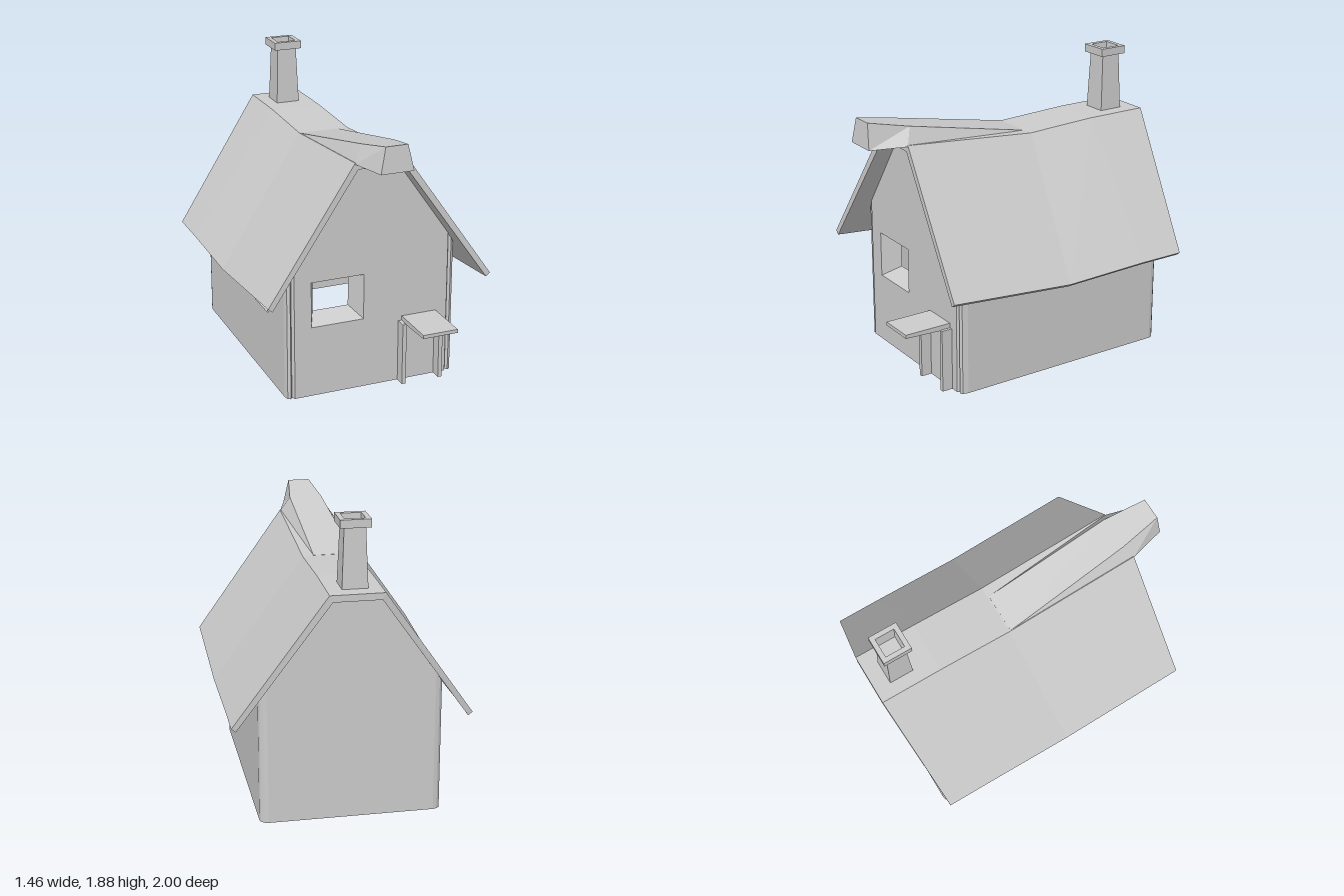
import * as THREE from 'three';

const solid = new THREE.MeshStandardMaterial({ color: 0xcccccc, flatShading: true });
const thin = new THREE.MeshStandardMaterial({ color: 0xcccccc, flatShading: true, side: THREE.DoubleSide });

// Skin through rings of points. Rings run left, over the top, to the right; sections go back to front.
function loft(rings, { closed = true, caps = true } = {}) {
  const n = rings[0].length, pos = [];
  const quad = (a, b, c, d) => pos.push(...a, ...b, ...c, ...a, ...c, ...d);
  for (let s = 0; s < rings.length - 1; s++) {
    const p = rings[s], q = rings[s + 1];
    for (let i = 0; i < (closed ? n : n - 1); i++) {
      const j = (i + 1) % n;
      quad(p[i], q[i], q[j], p[j]);
    }
  }
  if (caps) {
    const back = rings[0], front = rings[rings.length - 1];
    for (let i = 0; i < n / 2 - 1; i++) {
      quad(front[i], front[n - 1 - i], front[n - 2 - i], front[i + 1]);
      quad(back[i], back[i + 1], back[n - 2 - i], back[n - 1 - i]);
    }
  }
  const geo = new THREE.BufferGeometry();
  geo.setAttribute('position', new THREE.Float32BufferAttribute(pos, 3));
  geo.computeVertexNormals();
  return geo;
}

export function createModel() {
  const house = new THREE.Group();
  house.name = 'cottage';
  const add = (name, geo, mat = solid) => {
    const mesh = new THREE.Mesh(geo, mat);
    mesh.name = name;
    house.add(mesh);
    return mesh;
  };

  // Flat wall placed by place(u, y, depth), with an optional splayed window
  function wall(name, outline, place, win) {
    const shape = new THREE.Shape(outline.map(([u, v]) => new THREE.Vector2(u, v)));
    if (win) {
      const [u0, u1, v0, v1] = win;
      const rect = (m) => [[u0 + m, v0 + m], [u0 + m, v1 - m], [u1 - m, v1 - m], [u1 - m, v0 + m]];
      shape.holes.push(new THREE.Path(rect(0).map(([u, v]) => new THREE.Vector2(u, v))));
      const ring = (m, d) => rect(m).map(([u, v]) => place(u, v, d));
      add(name + 'WindowReveal', loft([ring(0, 0), ring(0.055, 0.12)], { caps: false }), thin);
    }
    const geo = new THREE.ShapeGeometry(shape), p = geo.attributes.position;
    for (let i = 0; i < p.count; i++) p.setXYZ(i, ...place(p.getX(i), p.getY(i), 0));
    geo.computeVertexNormals();
    add(name, geo, thin);
  }

  // Gable walls
  const gable = (shoulder, peak) =>
    [[-0.51, 0], [0.51, 0], [0.51, shoulder], [0.14, peak], [-0.14, peak], [-0.51, shoulder]];
  wall('frontWall', gable(0.945, 1.475), (u, y, d) => [u, y, 0.66 - d], [-0.4, -0.055, 0.46, 0.755]);
  wall('backWall', gable(0.9, 1.43), (u, y, d) => [-u, y, -0.86 + d]);

  // Side walls, following the sag of the roof
  wall('leftWall', [[-0.61, 0], [0.81, 0], [0.81, 0.82], [0.1, 0.81], [-0.61, 0.86]],
    (u, y, d) => [0.56 - d, y, -u]);
  wall('rightWall', [[-0.81, 0], [0.61, 0], [0.61, 0.86], [-0.1, 0.81], [-0.81, 0.82]],
    (u, y, d) => [-0.56 + d, y, u], [-0.11, 0.33, 0.45, 0.75]);

  // Corner posts: grooved at the front, rounded at the back
  const corners = {
    front: { path: [[0.51, 0.66], [0.522, 0.638], [0.534, 0.655], [0.552, 0.645], [0.56, 0.61]], top: [0.945, 0.86] },
    back: { path: [[0.51, -0.86], [0.535, -0.853], [0.553, -0.835], [0.56, -0.81]], top: [0.9, 0.82] },
  };
  for (const [end, { path, top }] of Object.entries(corners)) {
    for (const side of [1, -1]) {
      const low = path.map(([x, z]) => [side * x, 0, z]);
      const high = path.map(([x, z]) =>
        [side * x, THREE.MathUtils.mapLinear(x, 0.51, 0.56, top[0], top[1]), z]);
      const outward = (side > 0) === (end === 'front');
      add(end + (side > 0 ? 'Left' : 'Right') + 'Corner',
        loft(outward ? [high, low] : [low, high], { closed: false, caps: false }), thin);
    }
  }

  // Sagging roof slab: ridge z, ridge y, eave z, eave y from back to front
  const roofSections = [
    [-1, 1.46, -0.9, 0.645], [-0.6, 1.46, -0.6, 0.645],
    [-0.12, 1.44, -0.03, 0.63], [0.77, 1.515, 0.81, 0.7],
  ];
  add('roof', loft(roofSections.map(([rz, ry, ez, ey]) => {
    const half = [[0.165, ry, rz], [0.73, ey, ez], [0.703, ey - 0.022, ez], [0.145, ry - 0.042, rz]];
    const [ridge, eave, eaveLow, ridgeLow] = half;
    const flip = ([x, y, z]) => [-x, y, z];
    return [flip(eave), flip(ridge), ridge, eave, eaveLow, ridgeLow, flip(ridgeLow), flip(eaveLow)];
  })));

  // Upturned ridge cap jutting out over the front gable
  const cap = (z, zb, base, yBase, topL, topR, yTop) =>
    [[-base, yBase, zb], [topL, yTop, z], [topR, yTop, z], [base, yBase, zb]];
  add('ridgeCap', loft([
    cap(-0.11, -0.11, 0.164, 1.435, -0.163, 0.095, 1.442),
    cap(0.72, 0.77, 0.165, 1.507, -0.108, 0.105, 1.612),
    cap(0.985, 1, 0.105, 1.507, -0.07, 0.07, 1.667),
  ]));

  // Square tapered chimney with a collar and an open flue
  const profile = [[0.08, 1.4], [0.064, 1.825], [0.092, 1.825], [0.092, 1.875],
    [0.062, 1.875], [0.055, 1.77], [0, 1.77]];
  const chimney = new THREE.LatheGeometry(
    profile.map(([r, y]) => new THREE.Vector2(r * Math.SQRT2, y)), 4, Math.PI / 4);
  add('chimney', chimney, thin).position.set(-0.004, 0, -0.822);

  // Door frame and canopy
  for (const x of [0.193, 0.443]) {
    add('doorPost', new THREE.BoxGeometry(0.026, 0.405, 0.075)).position.set(x, 0.2025, 0.692);
  }
  add('doorLintel', new THREE.BoxGeometry(0.27, 0.015, 0.06)).position.set(0.318, 0.398, 0.685);
  const slab = (z, low) => [[0.203, low, z], [0.203, 0.435, z], [0.435, 0.435, z], [0.435, low, z]];
  add('doorCanopy', loft([slab(0.655, 0.398), slab(0.97, 0.412)]));

  return house;
}
